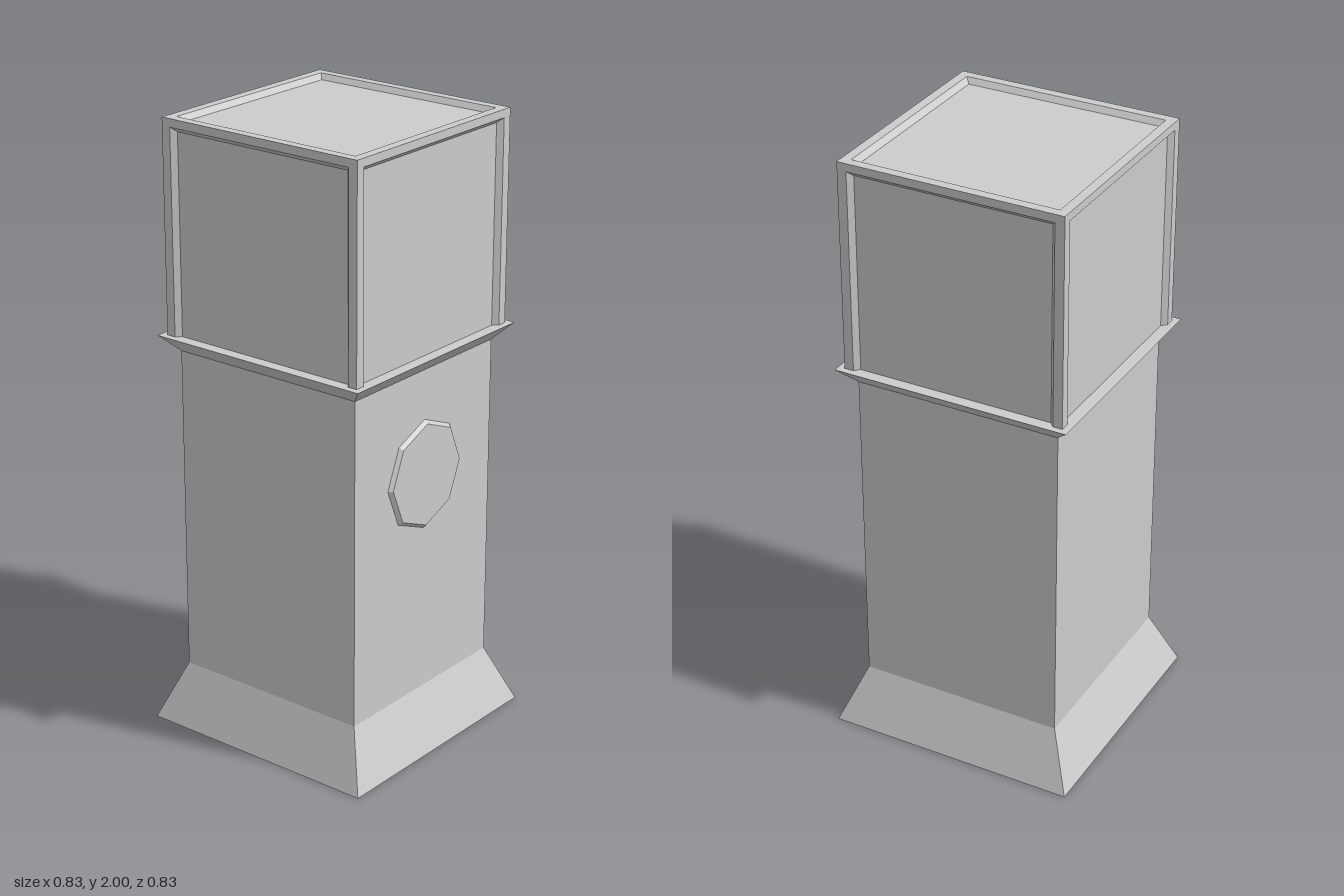
import * as THREE from 'three';

const stone = new THREE.MeshStandardMaterial({ color: 0xcccccc });
stone.name = 'pale grey';

export function createModel() {
  const group = new THREE.Group();
  const add = (name, geometry, parent = group) => {
    const mesh = new THREE.Mesh(geometry, stone);
    mesh.name = name;
    parent.add(mesh);
    return mesh;
  };

  // Square block tapering from half-width "bottom" at y0 to "top" at y1
  const block = (name, bottom, top, y0, y1) => {
    const g = new THREE.CylinderGeometry(top * Math.SQRT2, bottom * Math.SQRT2, y1 - y0, 4, 1, false, Math.PI / 4);
    const flat = g.toNonIndexed();
    flat.computeVertexNormals();
    flat.translate(0, (y0 + y1) / 2, 0);
    return add(name, flat);
  };
  block('flaredBase', 0.417, 0.34, 0, 0.19);
  block('shaft', 0.34, 0.34, 0.19, 1.262);
  block('cornice', 0.34, 0.391, 1.262, 1.315);

  // Framed panel: nested rectangles [halfWidth, low, high, depth] joined by strips
  const framedPanel = (rects) => {
    const loops = rects.map(([w, lo, hi, z]) => [[-w, lo, z], [w, lo, z], [w, hi, z], [-w, hi, z]]);
    const pos = [];
    const quad = (a, b, c, d) => pos.push(...a, ...b, ...c, ...a, ...c, ...d);
    for (let i = 0; i < loops.length - 1; i++) {
      const o = loops[i], n = loops[i + 1];
      for (let k = 0; k < 4; k++) quad(o[k], o[(k + 1) % 4], n[(k + 1) % 4], n[k]);
    }
    quad(...loops[loops.length - 1]);
    const g = new THREE.BufferGeometry();
    g.setAttribute('position', new THREE.Float32BufferAttribute(pos, 3));
    g.computeVertexNormals();
    return g;
  };

  // Head: four sunken sides and a sunken top
  const H = 0.369, floor = H - 0.017;
  const head = new THREE.Group();
  head.name = 'head';
  group.add(head);
  const side = framedPanel([[H, 1.3, 2, H], [0.338, 1.305, 1.974, H], [0.323, 1.31, 1.959, floor]]);
  for (let i = 0; i < 4; i++) add('headSide', side, head).rotation.y = i * Math.PI / 2;
  const lid = framedPanel([[H, -H, H, 0], [0.338, -0.338, 0.338, 0], [0.323, -0.323, 0.323, -0.017]]);
  lid.rotateX(-Math.PI / 2).translate(0, 2, 0);
  add('headTop', lid, head);

  // Raised octagonal plaque on the left face
  const plaque = new THREE.CylinderGeometry(0.168, 0.18, 0.012, 8).toNonIndexed();
  plaque.computeVertexNormals();
  plaque.rotateZ(-Math.PI / 2).translate(0.346, 0.92, 0);
  add('plaque', plaque);

  return group;
}
